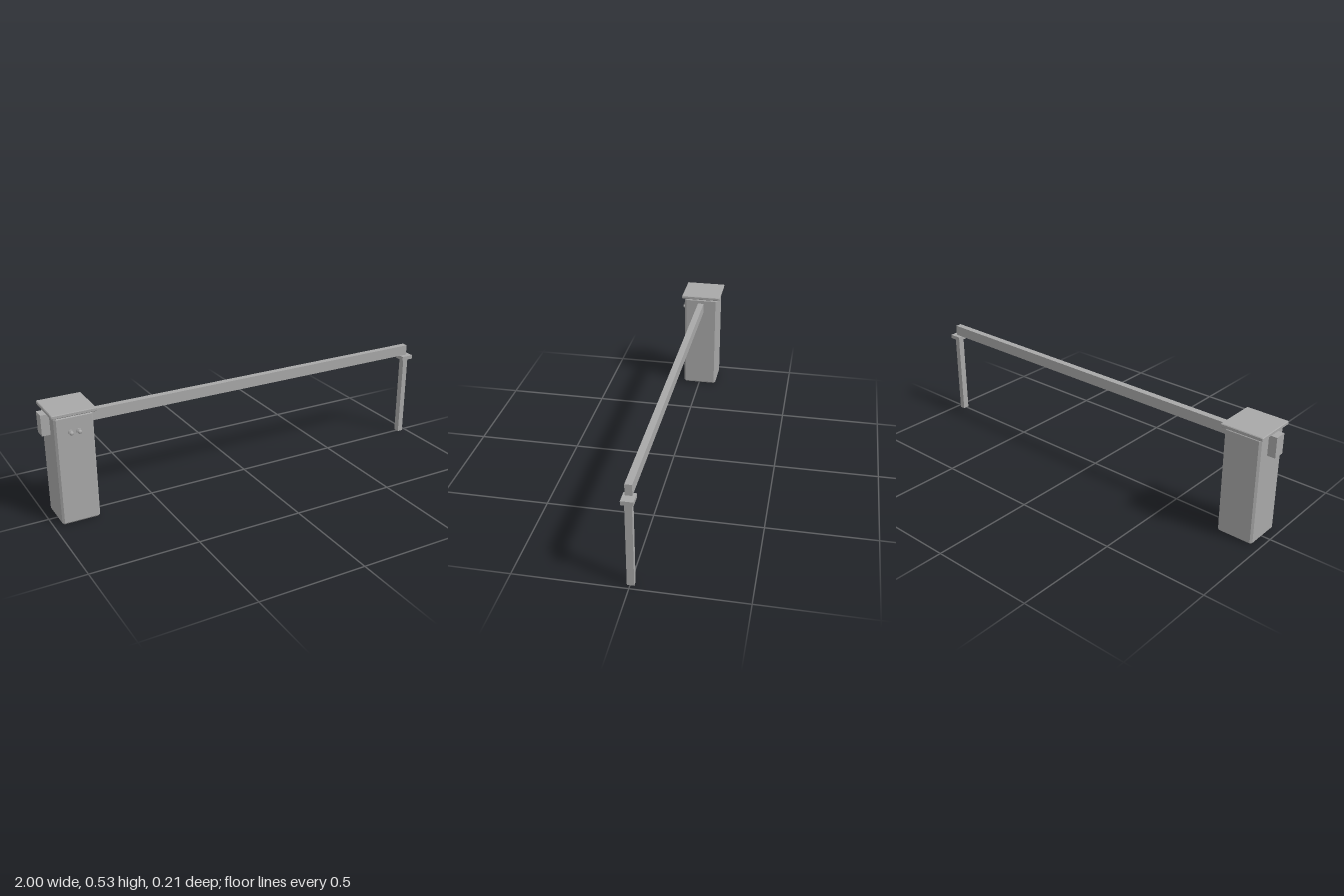
import * as THREE from 'three';
import { ConvexGeometry } from 'three/addons/geometries/ConvexGeometry.js';

const grey = new THREE.MeshStandardMaterial({ color: 0xa8a8a8 });
grey.name = 'grey metal';

// Box with every edge cut at 45 degrees, as a hull of 24 points
function chamferedBox(w, h, d, c) {
  const points = [];
  for (const sx of [-1, 1]) for (const sy of [-1, 1]) for (const sz of [-1, 1]) {
    for (let axis = 0; axis < 3; axis++) {
      const half = [w / 2, h / 2, d / 2].map((v, i) => (i === axis ? v : v - c));
      points.push(new THREE.Vector3(sx * half[0], sy * half[1], sz * half[2]));
    }
  }
  return new ConvexGeometry(points);
}

export function createModel() {
  const model = new THREE.Group();
  model.name = 'barrierGate';

  const add = (name, geometry, x, y, z) => {
    const mesh = new THREE.Mesh(geometry, grey);
    mesh.name = name;
    mesh.position.set(x, y, z);
    model.add(mesh);
    return mesh;
  };

  // Box given by its limits on each axis, chamfered if c is set
  const block = (name, [x0, x1], [y0, y1], [z0, z1], c = 0) => {
    const size = [x1 - x0, y1 - y0, z1 - z0];
    const geometry = c ? chamferedBox(...size, c) : new THREE.BoxGeometry(...size);
    return add(name, geometry, (x0 + x1) / 2, (y0 + y1) / 2, (z0 + z1) / 2);
  };

  // Drive cabinet and its overhanging lid
  block('cabinet', [-0.962, -0.786], [0, 0.513], [-0.092, 0.086], 0.009);
  block('lid', [-0.976, -0.773], [0.515, 0.532], [-0.105, 0.1], 0.003);

  // Barrier arm running through the cabinet to its counterweight
  block('arm', [-0.95, 0.967], [0.437, 0.488], [-0.018, 0.013]);
  block('counterweight', [-1, -0.94], [0.417, 0.513], [-0.031, 0.025]);

  // Rest post at the free end
  block('restPost', [0.952, 0.979], [0, 0.412], [-0.018, 0.013]);
  block('restPlate', [0.938, 1], [0.412, 0.431], [-0.029, 0.024]);

  // Two signal lamps on the front: a short collar with a round bulb
  for (const x of [-0.893, -0.856]) {
    const collar = add('lampCollar', new THREE.CylinderGeometry(0.012, 0.012, 0.012, 20), x, 0.437, 0.088);
    collar.rotation.x = Math.PI / 2;
    add('lampBulb', new THREE.SphereGeometry(0.0095, 20, 14), x, 0.437, 0.0975);
  }

  return model;
}
